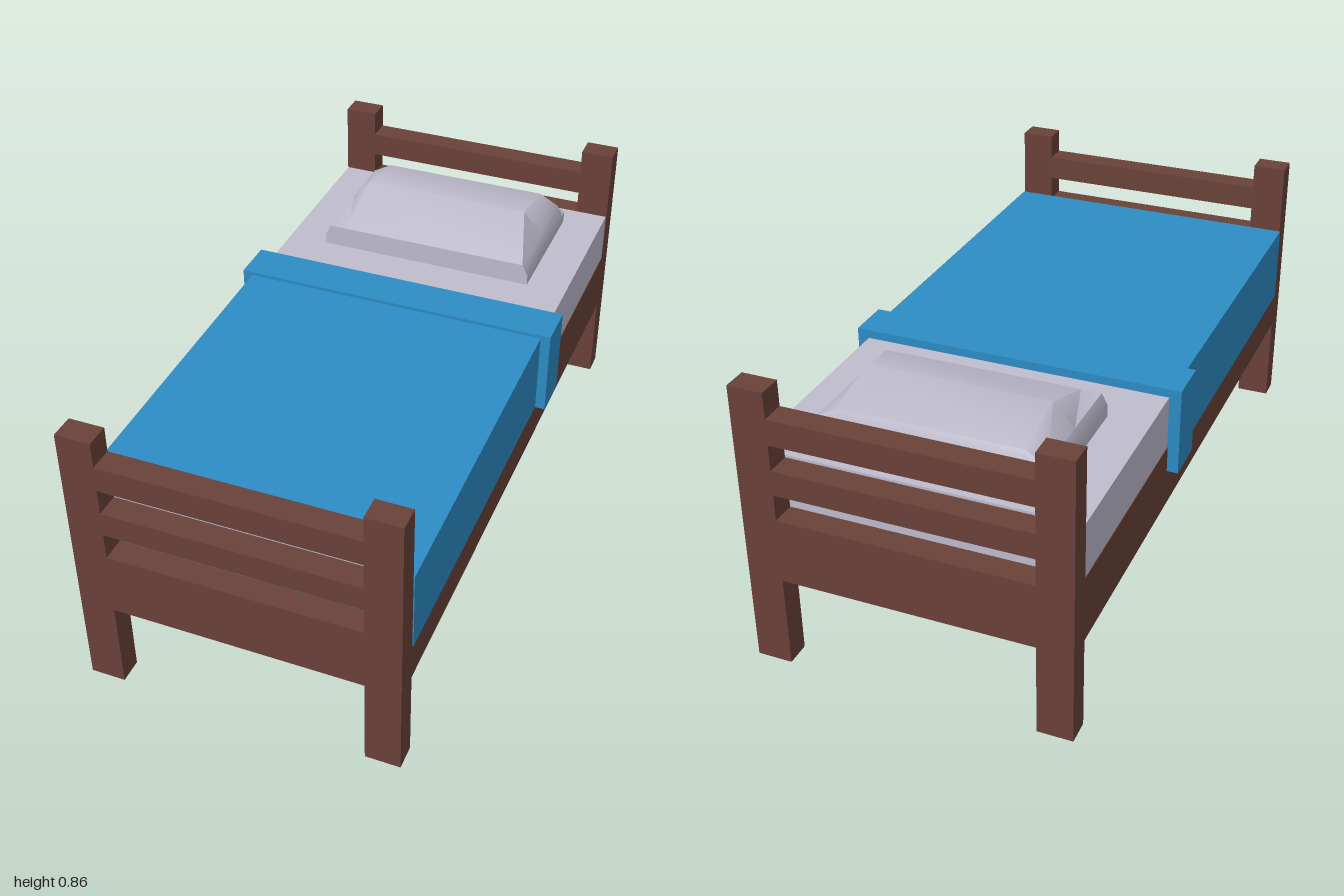
import * as THREE from 'three';
import { toCreasedNormals } from 'three/addons/utils/BufferGeometryUtils.js';

const material = (name, color) => {
  const m = new THREE.MeshStandardMaterial({ color });
  m.name = name;
  return m;
};

export function createModel() {
  const bed = new THREE.Group();
  bed.name = 'bed';
  const wood = material('brown wood', 0x6a4239);
  const blue = material('blue blanket', 0x2d8dc5);
  const linen = material('pale linen', 0xbfbccd);

  const add = (name, geometry, mat, parent = bed) => {
    const mesh = new THREE.Mesh(geometry, mat);
    mesh.name = name;
    parent.add(mesh);
    return mesh;
  };
  // Box given by its lower and upper limits on each axis
  const box = (name, mat, [x0, x1], [y0, y1], [z0, z1], parent) =>
    add(name, new THREE.BoxGeometry(x1 - x0, y1 - y0, z1 - z0)
      .translate((x0 + x1) / 2, (y0 + y1) / 2, (z0 + z1) / 2), mat, parent);

  // Headboard and footboard: two posts, a wide board and two rails
  for (const [name, z] of [['footboard', [0.928, 1]], ['headboard', [-1, -0.928]]]) {
    const end = new THREE.Group();
    end.name = name;
    bed.add(end);
    box('leftPost', wood, [0.367, 0.47], [0, 0.862], z, end);
    box('rightPost', wood, [-0.47, -0.367], [0, 0.862], z, end);
    box('board', wood, [-0.367, 0.367], [0.28, 0.475], z, end);
    box('middleRail', wood, [-0.367, 0.367], [0.555, 0.63], z, end);
    box('topRail', wood, [-0.367, 0.367], [0.708, 0.785], z, end);
  }

  // Side rails and slats
  box('leftSideRail', wood, [0.41, 0.47], [0.28, 0.475], [-0.928, 0.928]);
  box('rightSideRail', wood, [-0.47, -0.41], [0.28, 0.475], [-0.928, 0.928]);
  for (let i = 0; i < 7; i++) {
    const z = -0.837 + i * 0.279;
    box('slat', wood, [-0.41, 0.41], [0.345, 0.39], [z - 0.09, z + 0.09]);
  }

  box('mattress', linen, [-0.468, 0.468], [0.4, 0.637], [-0.927, 0.927]);

  // Blanket rises slightly towards the fold
  const side = new THREE.Shape([[-0.927, 0.395], [0.145, 0.395], [0.145, 0.652], [-0.927, 0.64]]
    .map(([u, v]) => new THREE.Vector2(u, v)));
  const cover = new THREE.ExtrudeGeometry(side, { depth: 0.946, bevelEnabled: false });
  cover.translate(0, 0, -0.473).rotateY(Math.PI / 2);
  add('blanket', cover, blue);
  box('blanketFold', blue, [-0.503, 0.503], [0.395, 0.663], [-0.274, -0.142]);

  // Pillow: a z-y profile lofted across x, flattened at both ends
  const profile = [[-0.43, 0.635], [-0.43, 0.705], [-0.63, 0.775], [-0.82, 0.74], [-0.85, 0.68], [-0.845, 0.635]];
  const stations = [[-0.343, 0.67], [-0.325, 0.708], [-0.265, 1], [0.265, 1], [0.325, 0.708], [0.343, 0.67]];
  const n = profile.length;
  const points = [];
  const index = [];
  stations.forEach(([x, top], i) => {
    profile.forEach(([z, y]) => points.push(x, Math.min(y, top), z));
    if (i === 0) return;
    for (let j = 0; j < n; j++) {
      const a = (i - 1) * n + j, b = (i - 1) * n + (j + 1) % n;
      index.push(a, a + n, b, b, a + n, b + n);
    }
  });
  const last = (stations.length - 1) * n;
  for (let j = 1; j < n - 1; j++) {
    index.push(0, j, j + 1, last, last + j + 1, last + j);
  }
  const pillow = new THREE.BufferGeometry();
  pillow.setAttribute('position', new THREE.Float32BufferAttribute(points, 3));
  pillow.setIndex(index);
  add('pillow', toCreasedNormals(pillow, 0.85), linen);

  return bed;
}
